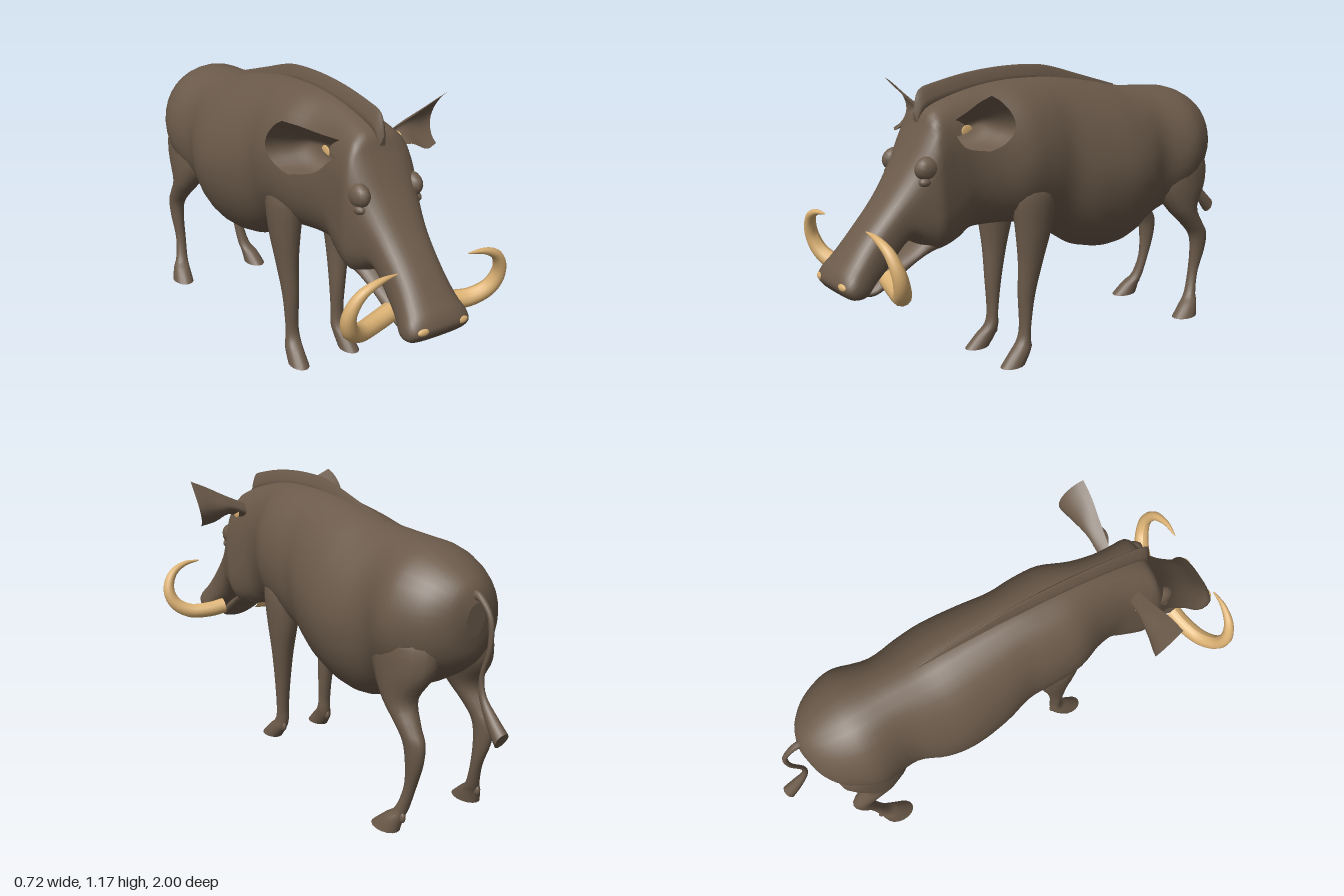
import * as THREE from 'three';

const hide = new THREE.MeshStandardMaterial({ color: 0x6b5a4a });
hide.name = 'brownHide';
const ivory = new THREE.MeshStandardMaterial({ color: 0xdcb274 });
ivory.name = 'ivory';
const earHide = new THREE.MeshStandardMaterial({ color: 0x6b5a4a, side: THREE.DoubleSide });
earHide.name = 'earHide';

// Catmull-Rom blend of section rows
function refine(rows, steps) {
  const out = [];
  const at = (i) => rows[Math.min(Math.max(i, 0), rows.length - 1)];
  for (let i = 0; i < rows.length - 1; i++) {
    for (let s = 0; s < steps; s++) {
      const t = s / steps;
      out.push(rows[i].map((p1, k) => {
        const p0 = at(i - 1)[k], p2 = at(i + 1)[k], p3 = at(i + 2)[k];
        return 0.5 * (2 * p1 + (p2 - p0) * t + (2 * p0 - 5 * p1 + 4 * p2 - p3) * t * t
          + (3 * p1 - p0 - 3 * p2 + p3) * t * t * t);
      }));
    }
  }
  out.push(rows[rows.length - 1]);
  return out;
}

// Closed skin over sections [x, z1, y1, z2, y2, halfWidth, power]; power < 1 is squarer, 2 is a diamond
function loft(rows, sides = 24, steps = 4) {
  const rings = refine(rows, steps), pos = [], index = [];
  const soft = (v, e) => Math.sign(v) * Math.pow(Math.abs(v), e);
  const ring = ([x, z1, y1, z2, y2, w, e]) => {
    for (let j = 0; j < sides; j++) {
      const a = (j / sides) * Math.PI * 2, c = soft(Math.cos(a), e) / 2;
      pos.push(x + w * soft(Math.sin(a), e), (y1 + y2) / 2 + c * (y1 - y2), (z1 + z2) / 2 + c * (z1 - z2));
    }
  };
  rings.forEach(ring);
  for (let i = 0; i < rings.length - 1; i++) {
    for (let j = 0; j < sides; j++) {
      const k = (j + 1) % sides;
      const a = i * sides + j, b = i * sides + k, c = a + sides, d = b + sides;
      index.push(a, c, b, b, c, d);
    }
  }
  // end caps with their own vertices
  [rings[0], rings[rings.length - 1]].forEach((r, end) => {
    const start = pos.length / 3;
    ring(r);
    pos.push(r[0], (r[2] + r[4]) / 2, (r[1] + r[3]) / 2);
    for (let j = 0; j < sides; j++) {
      const a = start + j, b = start + (j + 1) % sides;
      index.push(start + sides, end ? b : a, end ? a : b);
    }
  });
  const g = new THREE.BufferGeometry();
  g.setAttribute('position', new THREE.Float32BufferAttribute(pos, 3));
  g.setIndex(index);
  g.computeVertexNormals();
  return g;
}

// Cupped leaf between an upper and a lower edge
function earGeometry(side) {
  const curve = (pts) => new THREE.CatmullRomCurve3(pts.map((p) => new THREE.Vector3(p[0] * side, p[1], p[2])));
  const upper = curve([[0.1, 1.0, 0.53], [0.2, 1.045, 0.54], [0.28, 1.085, 0.548], [0.35, 1.115, 0.548]]);
  const lower = curve([[0.1, 0.93, 0.53], [0.17, 0.955, 0.57], [0.24, 0.925, 0.575], [0.32, 0.922, 0.535]]);
  const g = new THREE.PlaneGeometry(1, 1, 14, 14), uv = g.attributes.uv, pos = g.attributes.position;
  for (let i = 0; i < pos.count; i++) {
    const t = uv.getX(i), s = uv.getY(i), bulge = Math.pow(Math.sin(Math.PI * s), 0.75);
    const p = lower.getPoint(t).lerp(upper.getPoint(t), s);
    pos.setXYZ(i, p.x + side * 0.024 * bulge * t, p.y - 0.012 * bulge * t * (1 - s),
      p.z - bulge * (0.04 + 0.06 * Math.sin(Math.PI * t * 0.65)) * (1.1 - 0.35 * s));
  }
  g.computeVertexNormals();
  return g;
}

// Tapered curved tooth
function tuskGeometry(side) {
  const path = new THREE.CatmullRomCurve3([
    [0.08, 0.465, 0.81], [0.15, 0.453, 0.825], [0.24, 0.455, 0.855], [0.3, 0.495, 0.885],
    [0.319, 0.56, 0.905], [0.288, 0.63, 0.92], [0.22, 0.667, 0.928], [0.148, 0.674, 0.925],
  ].map((p) => new THREE.Vector3(p[0] * side, p[1], p[2])));
  const seg = 40, sides = 12;
  const g = new THREE.TubeGeometry(path, seg, 1, sides), pos = g.attributes.position, v = new THREE.Vector3();
  for (let i = 0; i < pos.count; i++) {
    const t = Math.floor(i / (sides + 1)) / seg, c = path.getPointAt(t);
    v.fromBufferAttribute(pos, i).sub(c).multiplyScalar(0.002 + 0.034 * Math.pow(1 - t * t, 0.9)).add(c);
    pos.setXYZ(i, v.x, v.y, v.z);
  }
  g.computeVertexNormals();
  return g;
}

export function createModel() {
  const model = new THREE.Group();
  model.name = 'wildHog';
  const add = (name, geometry, material = hide) => {
    const m = new THREE.Mesh(geometry, material);
    m.name = name;
    model.add(m);
    return m;
  };
  const centred = (rows, power = 1) => rows.map((r) => [0, ...r.slice(0, 5), r[5] ?? power]);

  // trunk, neck, skull and snout: [zTop, yTop, zBottom, yBottom, halfWidth, power]
  add('bodyAndHead', loft(centred([
    [-0.842, 0.86, -0.832, 0.74, 0.04], [-0.82, 0.92, -0.815, 0.66, 0.105], [-0.76, 0.97, -0.77, 0.6, 0.172],
    [-0.68, 1.01, -0.68, 0.54, 0.22], [-0.6, 1.03, -0.6, 0.5, 0.235], [-0.47, 1.04, -0.47, 0.445, 0.208],
    [-0.34, 1.05, -0.36, 0.38, 0.245, 1.08], [-0.22, 1.075, -0.25, 0.365, 0.258, 1.1],
    [-0.08, 1.1, -0.1, 0.4, 0.238, 1.08], [0.04, 1.115, 0.03, 0.48, 0.205], [0.14, 1.12, 0.14, 0.53, 0.21],
    [0.25, 1.12, 0.25, 0.56, 0.205], [0.36, 1.11, 0.36, 0.57, 0.16], [0.46, 1.09, 0.44, 0.57, 0.138, 0.9],
    [0.56, 1.06, 0.5, 0.545, 0.14, 0.75], [0.61, 1.03, 0.56, 0.53, 0.147, 0.65],
    [0.64, 0.97, 0.61, 0.525, 0.15, 0.65], [0.7, 0.86, 0.655, 0.545, 0.132, 0.7],
    [0.785, 0.74, 0.715, 0.575, 0.11, 0.75], [0.885, 0.63, 0.79, 0.5, 0.105, 0.75],
    [0.95, 0.555, 0.85, 0.455, 0.115, 0.75], [0.985, 0.515, 0.9, 0.415, 0.13, 0.75],
    [1.0, 0.48, 0.95, 0.415, 0.12, 0.75], [0.997, 0.46, 0.975, 0.43, 0.08, 0.8],
  ]), 32));

  // thin crest along the back
  add('mane', loft(centred([
    [0.637, 1.03, 0.62, 0.95, 0.012], [0.615, 1.105, 0.6, 0.99, 0.02], [0.54, 1.13, 0.54, 1.02, 0.02],
    [0.4, 1.155, 0.4, 1.05, 0.02], [0.25, 1.167, 0.25, 1.07, 0.02], [0.1, 1.165, 0.1, 1.07, 0.018],
    [0, 1.15, 0, 1.05, 0.016], [-0.15, 1.108, -0.15, 1.03, 0.014], [-0.34, 1.055, -0.34, 1.0, 0.008],
  ].reverse(), 1.6), 16));

  // lower jaw
  add('lowerJaw', loft(centred([
    [0.55, 0.62, 0.53, 0.535, 0.1], [0.64, 0.59, 0.63, 0.51, 0.095], [0.7, 0.547, 0.7, 0.48, 0.085],
    [0.78, 0.505, 0.78, 0.427, 0.078], [0.85, 0.45, 0.85, 0.395, 0.07], [0.885, 0.425, 0.885, 0.4, 0.04],
  ])));

  // tail with a flared tuft
  add('tail', loft(centred([
    [-0.81, 0.87, -0.81, 0.9, 0.014], [-0.86, 0.865, -0.855, 0.895, 0.013], [-0.895, 0.82, -0.915, 0.825, 0.01],
    [-0.9, 0.72, -0.918, 0.72, 0.009], [-0.87, 0.62, -0.888, 0.62, 0.009], [-0.875, 0.54, -0.9, 0.55, 0.012],
    [-0.92, 0.455, -0.95, 0.495, 0.022], [-0.97, 0.39, -1.0, 0.45, 0.028],
  ]), 10));

  // legs: [y, zFront, zBack, x, halfWidth]
  const frontLeg = [
    [0.8, 0.27, 0.14, 0.1, 0.04], [0.7, 0.29, 0.1, 0.122, 0.066], [0.56, 0.275, 0.11, 0.125, 0.058],
    [0.42, 0.26, 0.15, 0.12, 0.044], [0.28, 0.257, 0.185, 0.112, 0.034], [0.15, 0.25, 0.205, 0.11, 0.028],
    [0.09, 0.263, 0.205, 0.11, 0.03], [0.05, 0.305, 0.21, 0.117, 0.034], [0, 0.355, 0.245, 0.122, 0.038],
  ];
  const hindLeg = [
    [0.82, -0.55, -0.7, 0.1, 0.06], [0.72, -0.5, -0.77, 0.118, 0.09], [0.61, -0.48, -0.775, 0.13, 0.085],
    [0.5, -0.55, -0.71, 0.15, 0.06], [0.42, -0.63, -0.745, 0.16, 0.042], [0.36, -0.68, -0.78, 0.162, 0.033],
    [0.28, -0.695, -0.772, 0.16, 0.028], [0.18, -0.69, -0.735, 0.158, 0.023], [0.09, -0.66, -0.71, 0.17, 0.027],
    [0.05, -0.615, -0.7, 0.185, 0.036], [0, -0.56, -0.69, 0.195, 0.044],
  ];

  for (const side of [1, -1]) {
    const label = side > 0 ? 'left' : 'right';
    const leg = (rows) => loft(rows.map(([y, f, b, x, w]) => [x * side, f, y, b, y, w, 1]), 16);
    add(label + 'FrontLeg', leg(frontLeg));
    add(label + 'HindLeg', leg(hindLeg));
    add(label + 'Ear', earGeometry(side), earHide);
    add(label + 'Tusk', tuskGeometry(side), ivory);

    // small rounded details: size, position
    const bump = (name, s, p, material) => {
      const m = add(label + name, new THREE.SphereGeometry(1, 14, 10), material);
      m.scale.set(...s);
      m.position.set(p[0] * side, p[1], p[2]);
    };
    bump('Brow', [0.034, 0.045, 0.055], [0.112, 0.845, 0.652]);
    bump('Eye', [0.022, 0.018, 0.026], [0.118, 0.8, 0.672]);
    bump('FrontDewclaw', [0.012, 0.022, 0.016], [0.115, 0.06, 0.216]);
    bump('HindDewclaw', [0.012, 0.022, 0.016], [0.18, 0.06, -0.698]);
    bump('Nostril', [0.026, 0.014, 0.01], [0.08, 0.474, 0.99], ivory);
    bump('InnerEar', [0.004, 0.022, 0.024], [0.155, 0.968, 0.515], ivory);
  }
  return model;
}
